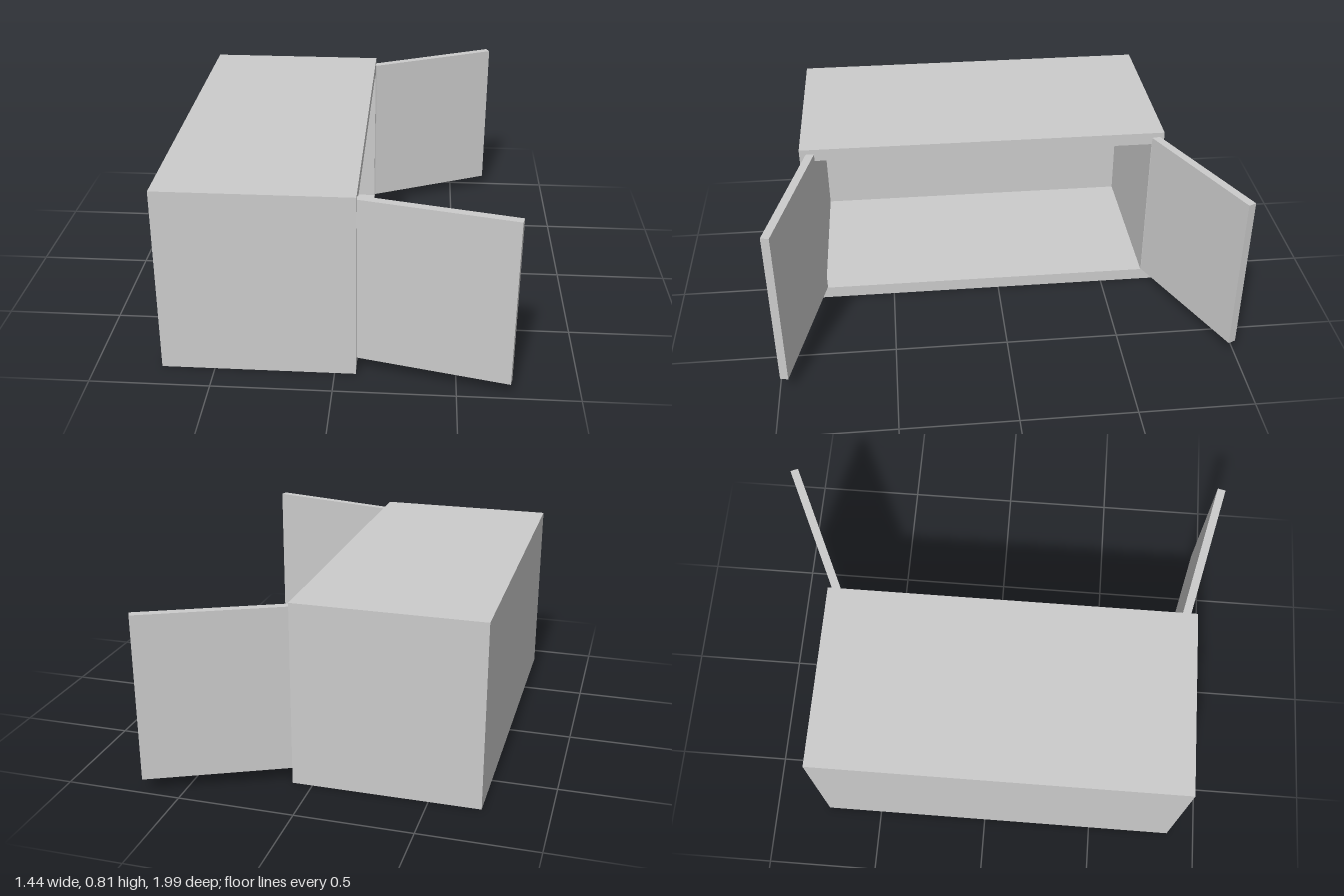
import * as THREE from 'three';

export function createModel() {
  const group = new THREE.Group();
  const material = new THREE.MeshStandardMaterial({ color: 0xcccccc, flatShading: true });

  // Box spanning min..max on each axis
  function panel(name, [x0, x1], [y0, y1], [z0, z1]) {
    const mesh = new THREE.Mesh(new THREE.BoxGeometry(x1 - x0, y1 - y0, z1 - z0), material);
    mesh.position.set((x0 + x1) / 2, (y0 + y1) / 2, (z0 + z1) / 2);
    mesh.name = name;
    group.add(mesh);
  }

  // Cabinet shell, open towards +x
  const X = [-0.722, 0.088], Y = [0, 0.812], Z = [-0.75, 0.875], t = 0.056;
  const innerY = [Y[0] + t, Y[1] - t];
  panel('bottomPanel', X, [Y[0], innerY[0]], Z);
  panel('topPanel', X, [innerY[1], Y[1]], Z);
  panel('leftSidePanel', X, innerY, [Z[1] - t, Z[1]]);
  panel('rightSidePanel', X, innerY, [Z[0], Z[0] + t]);
  panel('backPanel', [X[0], X[0] + t], innerY, [Z[0] + t, Z[1] - t]);

  // Open doors, each swung about its hinge at the cabinet opening
  const doorY = [0.062, 0.79], doorThickness = 0.036;
  function door(name, [hx, hz], [ex, ez]) {
    const length = Math.hypot(ex - hx, ez - hz);
    const mesh = new THREE.Mesh(
      new THREE.BoxGeometry(length, doorY[1] - doorY[0], doorThickness), material);
    mesh.position.set((hx + ex) / 2, (doorY[0] + doorY[1]) / 2, (hz + ez) / 2);
    mesh.rotation.y = -Math.atan2(ez - hz, ex - hx);
    mesh.name = name;
    group.add(mesh);
  }
  door('frontDoor', [0.086, 0.828], [0.718, 0.977]);
  door('rearDoor', [0.086, -0.711], [0.668, -0.984]);

  return group;
}
